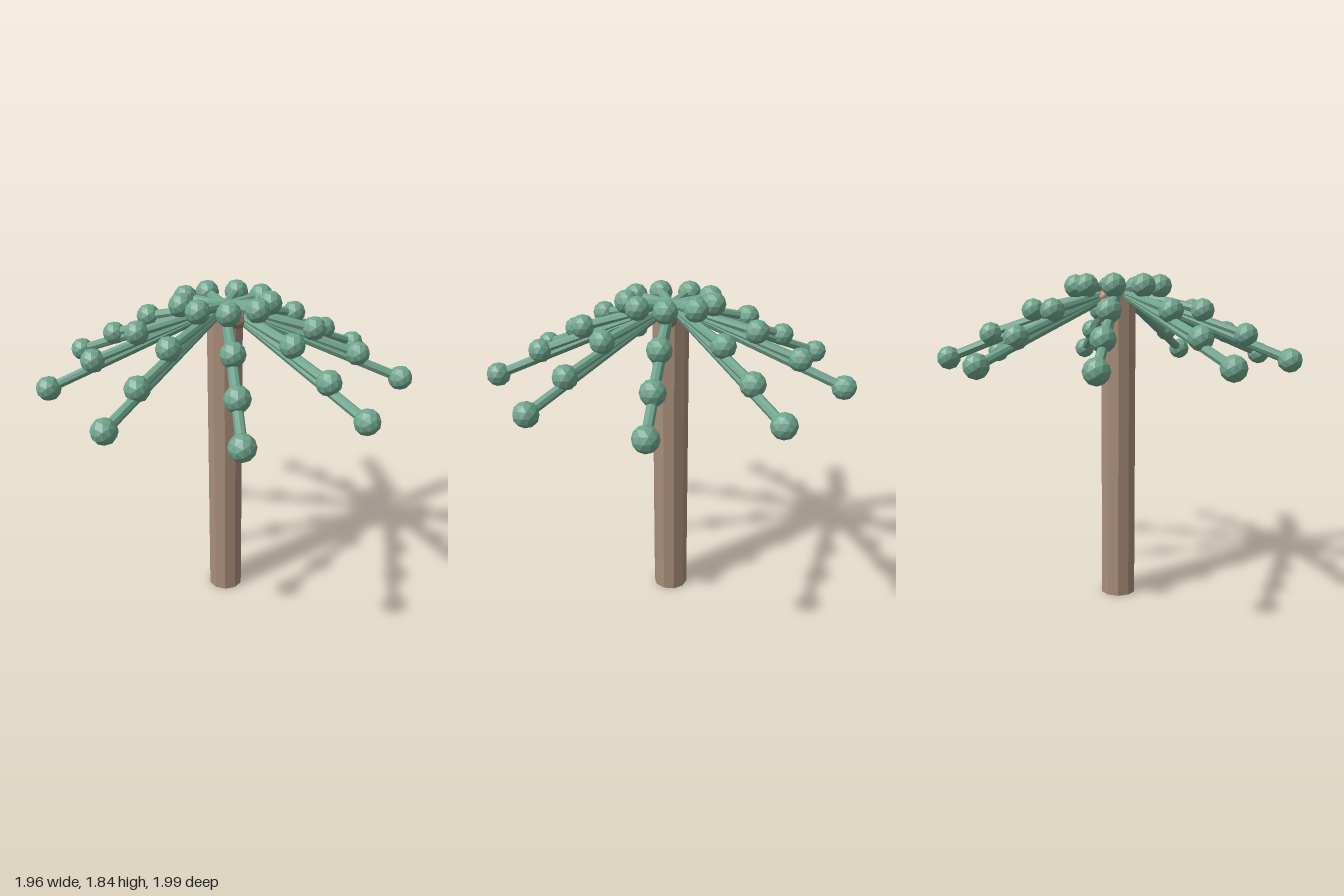
import * as THREE from 'three';

const mat = (name, color) => {
  const m = new THREE.MeshStandardMaterial({ color, flatShading: true });
  m.name = name;
  return m;
};

export function createModel() {
  const bark = mat('bark brown', 0xa98d7a);
  const nut = mat('nut brown', 0xa07c68);
  const leaf = mat('leaf green', 0x70a58e);

  const tree = new THREE.Group();
  tree.name = 'palmTree';

  const add = (parent, name, geometry, material) => {
    const mesh = new THREE.Mesh(geometry, material);
    mesh.name = name;
    parent.add(mesh);
    return mesh;
  };

  // The trunk stands slightly off centre, because the crown is not symmetric in x
  const plant = new THREE.Group();
  plant.name = 'plant';
  plant.position.x = -0.03;
  tree.add(plant);

  const apex = new THREE.Vector3(0, 1.755, 0);
  add(plant, 'trunk', new THREE.CylinderGeometry(0.1, 0.1, apex.y, 10), bark)
    .position.y = apex.y / 2;

  // Small nuts tucked under the crown
  const nutGeometry = new THREE.IcosahedronGeometry(0.05, 1);
  for (let i = 0; i < 4; i++) {
    const a = (i * Math.PI) / 2;
    add(plant, 'nut', nutGeometry, nut)
      .position.set(0.12 * Math.cos(a), 1.71, 0.12 * Math.sin(a));
  }

  // Nine fronds: each bead hangs on its own rod from the trunk top
  const beadGeometry = new THREE.IcosahedronGeometry(0.066, 1);
  const up = new THREE.Vector3(0, 1, 0);
  for (let i = 0; i < 9; i++) {
    const frond = new THREE.Group();
    frond.name = 'frond';
    frond.rotation.y = (i * Math.PI * 2) / 9;
    plant.add(frond);
    for (let j = 1; j <= 4; j++) {
      const end = new THREE.Vector3(0.236 * j, 1.905 - 0.13 * j, 0);
      const dir = end.clone().sub(apex);
      const rod = add(frond, 'rod', new THREE.CylinderGeometry(0.026, 0.026, dir.length(), 8), leaf);
      rod.position.copy(apex).add(end).multiplyScalar(0.5);
      rod.quaternion.setFromUnitVectors(up, dir.normalize());
      const bead = add(frond, 'leafBead', beadGeometry, leaf);
      bead.position.copy(end);
      bead.rotation.y = -frond.rotation.y;
    }
  }
  return tree;
}
